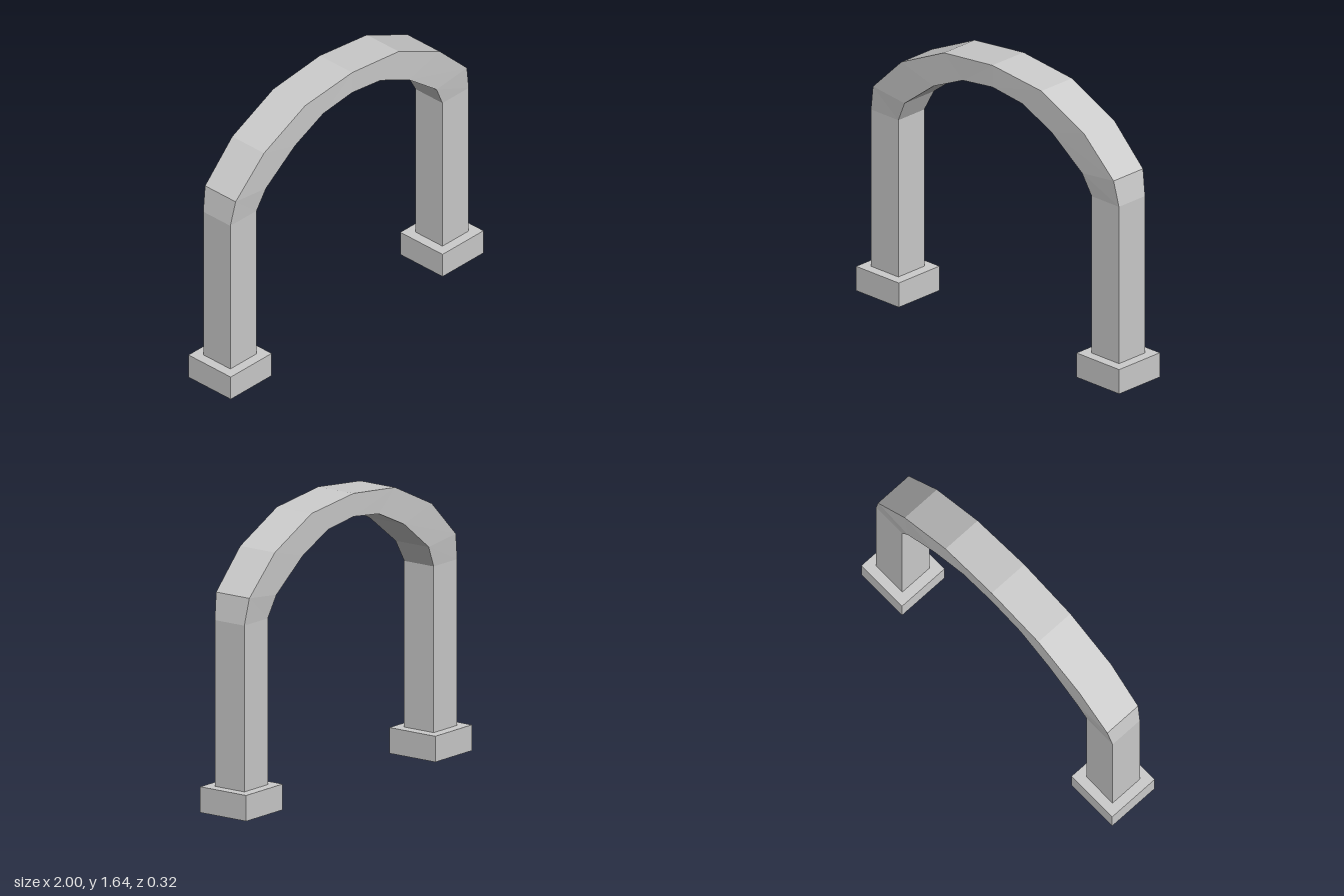
import * as THREE from 'three';

const material = new THREE.MeshStandardMaterial({ color: 0xcccccc, flatShading: true });

// Right half of the arch, foot to crown: [outerX, outerY, innerX, innerY, halfDepth]
const half = [
  [0.943, 0.145, 0.735, 0.145, 0.102],
  [0.943, 1.08, 0.735, 1.08, 0.102],
  [0.915, 1.23, 0.675, 1.203, 0.115],
  [0.695, 1.445, 0.45, 1.377, 0.12],
  [0.37, 1.6, 0.227, 1.48, 0.12],
  [0, 1.64, 0, 1.51, 0.122],
];

// Four-sided loft swept through the mirrored cross-sections
function archGeometry() {
  const mirrored = half.map(([ox, oy, ix, iy, d]) => [-ox, oy, -ix, iy, d]);
  const sections = [...mirrored, ...half.slice(0, -1).reverse()];
  const rings = sections.map(([ox, oy, ix, iy, d]) => [
    [ox, oy, d], [ox, oy, -d], [ix, iy, -d], [ix, iy, d],
  ]);
  const positions = [];
  for (let i = 0; i < rings.length - 1; i++) {
    for (let k = 0; k < 4; k++) {
      const n = (k + 1) % 4;
      const a = rings[i][k], b = rings[i + 1][k], c = rings[i + 1][n], d = rings[i][n];
      positions.push(...a, ...b, ...c, ...a, ...c, ...d);
    }
  }
  const geometry = new THREE.BufferGeometry();
  geometry.setAttribute('position', new THREE.Float32BufferAttribute(positions, 3));
  geometry.computeVertexNormals();
  return geometry;
}

export function createModel() {
  const group = new THREE.Group();
  group.name = 'archway';

  // Legs and curved top in one band
  const arch = new THREE.Mesh(archGeometry(), material);
  arch.name = 'arch';
  group.add(arch);

  // Square plinth under each leg
  for (const side of [-1, 1]) {
    const plinth = new THREE.Mesh(new THREE.BoxGeometry(0.324, 0.145, 0.318), material);
    plinth.name = side > 0 ? 'leftPlinth' : 'rightPlinth';
    plinth.position.set(side * 0.838, 0.0725, 0);
    group.add(plinth);
  }
  return group;
}
